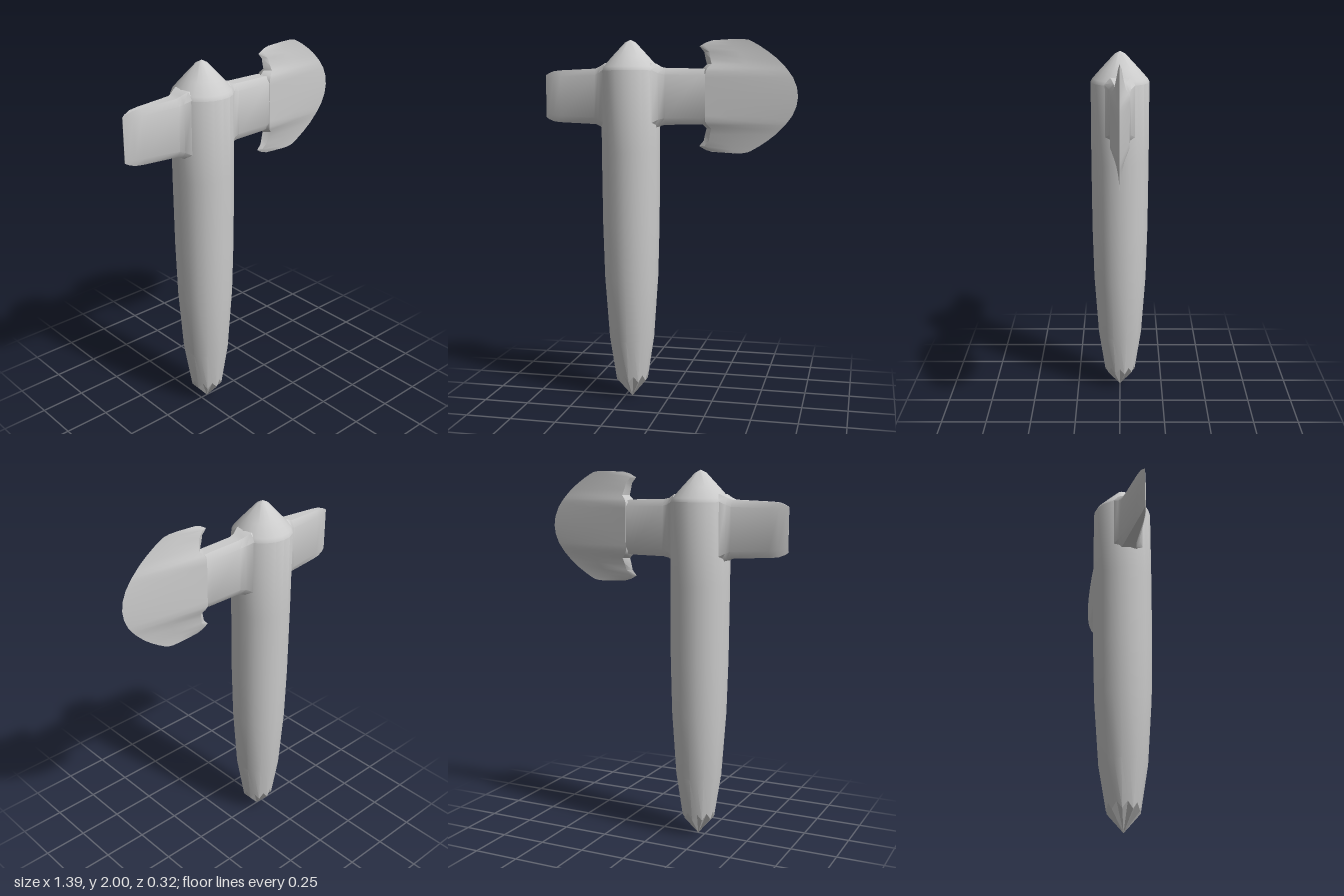
import * as THREE from 'three';
import { mergeVertices, toCreasedNormals } from 'three/addons/utils/BufferGeometryUtils.js';

const SHAFT_X = -0.21;
const HEAD_Y = 1.697;

// Skin closed rings of [x, y, z] points; rings run counter-clockwise about the loft direction
function loft(rings, crease = 0.6) {
  const n = rings[0].length;
  const index = [];
  for (let i = 0; i < rings.length - 1; i++) {
    for (let k = 0; k < n; k++) {
      const a = i * n + k, b = i * n + (k + 1) % n;
      index.push(a, b, a + n, b, b + n, a + n);
    }
  }
  const last = (rings.length - 1) * n;
  for (let k = 1; k < n - 1; k++) {
    index.push(0, k + 1, k, last, last + k, last + k + 1);
  }
  const geometry = new THREE.BufferGeometry();
  geometry.setAttribute('position', new THREE.Float32BufferAttribute(rings.flat(2), 3));
  geometry.setIndex(index);
  return toCreasedNormals(geometry, crease);
}

// Tapered round handle with a pointed cap and a faceted lower tip
function shaftGeometry() {
  const profile = [
    [0, 0.005], [0.088, 0.125], [0.125, 0.35], [0.149, 0.7], [0.157, 1.0], [0.16, 1.4],
    [0.16, 1.835], [0.15, 1.855], [0.1, 1.91], [0.03, 1.985], [0, 2],
  ].map(([r, y]) => new THREE.Vector2(r, y));
  const sides = 20;
  const geometry = new THREE.LatheGeometry(profile, sides);
  const pos = geometry.attributes.position;
  // Zigzag the ring above the tip
  for (let i = 0; i <= sides; i++) {
    const v = i * profile.length + 1;
    pos.setY(v, pos.getY(v) + (i % 2 ? 0.018 : -0.018));
  }
  geometry.deleteAttribute('uv');
  geometry.deleteAttribute('normal');
  return toCreasedNormals(mergeVertices(geometry), 0.5);
}

// Bevelled bar through the shaft: neck on one side, wedge on the other
function crossbarGeometry() {
  const sections = [ // x, half height, half thickness
    [-0.695, 0.115, 0.001], [-0.68, 0.125, 0.007], [-0.645, 0.138, 0.018], [-0.6, 0.142, 0.027],
    [-0.4, 0.15, 0.052], [-0.375, 0.16, 0.062], [-0.34, 0.178, 0.085],
    [-0.08, 0.178, 0.085], [-0.045, 0.158, 0.06], [-0.01, 0.151, 0.052],
    [0.18, 0.148, 0.051], [0.25, 0.14, 0.043],
  ];
  return loft(sections.map(([x, h, t]) => {
    const s = h - 0.035, b = t * 0.6;
    return [[h, -b], [h, b], [s, t], [-s, t], [-h, b], [-h, -b], [-s, -t], [s, -t]]
      .map(([y, z]) => [x, HEAD_Y + y, z]);
  }));
}

// Curved blade with hooked corners, thinning to its edge
function bladeGeometry() {
  const half = [ // height above centre, inner x, outer x, thickness factor
    [0, 0.18, 0.695, 1], [0.05, 0.18, 0.688, 1], [0.1, 0.18, 0.667, 1], [0.13, 0.18, 0.645, 1],
    [0.15, 0.19, 0.63, 0.85], [0.17, 0.21, 0.61, 0.62], [0.2, 0.202, 0.58, 0.45],
    [0.235, 0.195, 0.535, 0.3], [0.265, 0.17, 0.49, 0.18], [0.285, 0.205, 0.455, 0.08],
    [0.295, 0.24, 0.435, 0.03], [0.301, 0.35, 0.4, 0],
  ];
  const rows = [
    ...half.slice(1).reverse().map(([v, ...rest]) => [-v, ...rest]),
    ...half,
  ];
  return loft(rows.map(([v, inner, outer, f]) => {
    const back = inner + Math.min(0.03, (outer - inner) / 3);
    const mid = (back + outer) / 2;
    const t = 0.05 * f;
    return [[inner, 0], [back, t], [mid, t / 2], [outer, 0], [mid, -t / 2], [back, -t]]
      .map(([x, z]) => [x, HEAD_Y + v, z]);
  }));
}

export function createModel() {
  const group = new THREE.Group();
  group.name = 'axe';
  const material = new THREE.MeshStandardMaterial({ color: 0xcccccc });
  const add = (name, geometry) => {
    const mesh = new THREE.Mesh(geometry, material);
    mesh.name = name;
    group.add(mesh);
    return mesh;
  };
  add('shaft', shaftGeometry()).position.x = SHAFT_X;
  add('crossbar', crossbarGeometry());
  add('blade', bladeGeometry());
  return group;
}
